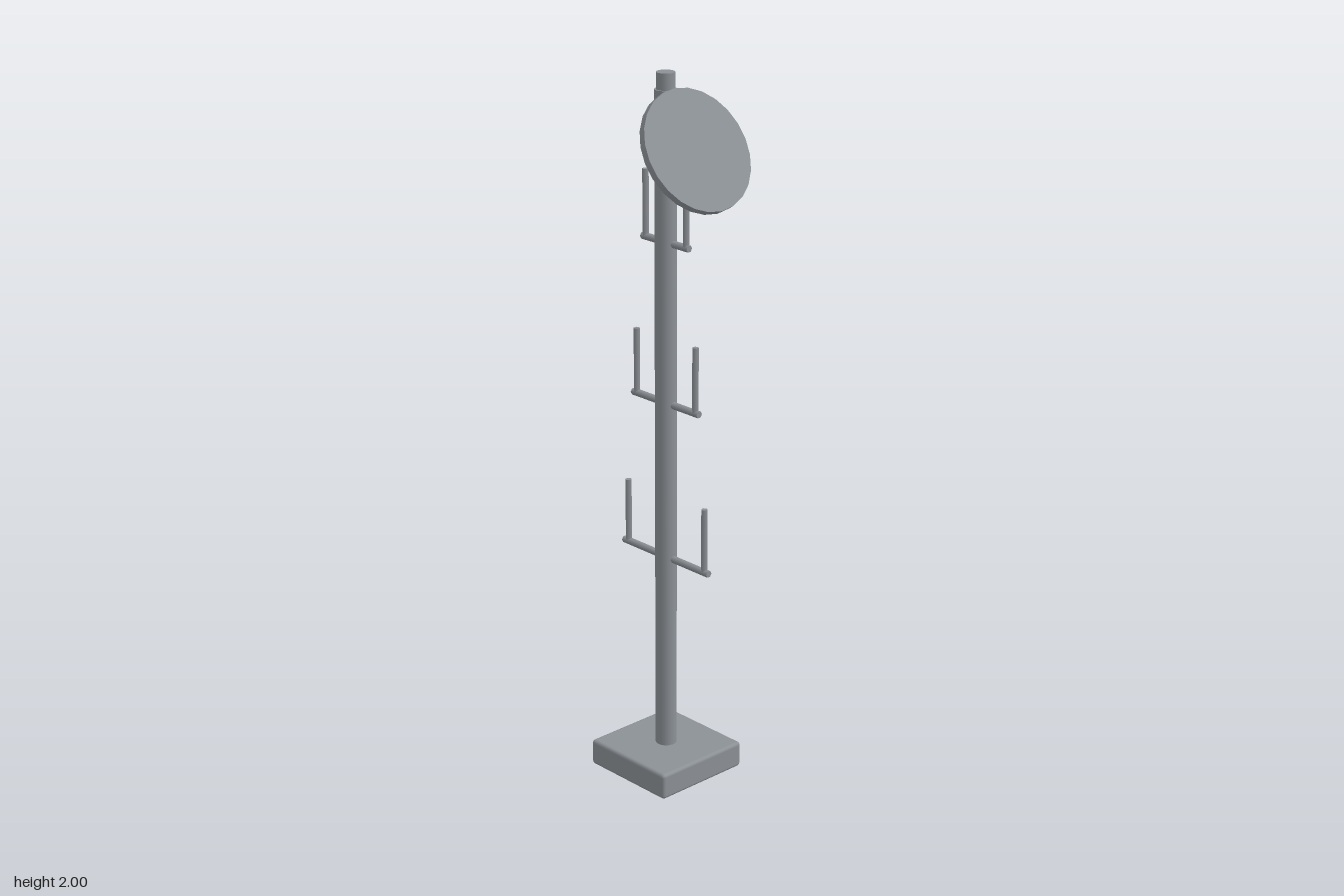
import * as THREE from 'three';
import { RoundedBoxGeometry } from 'three/addons/geometries/RoundedBoxGeometry.js';

export function createModel() {
  const model = new THREE.Group();
  model.name = 'signPost';
  const steel = new THREE.MeshStandardMaterial({ color: 0x8c9196 });
  steel.name = 'steel grey';
  const axisX = -0.022; // the post stands slightly off centre

  function add(name, geometry, x, y, parent = model) {
    const mesh = new THREE.Mesh(geometry, steel);
    mesh.name = name;
    mesh.position.set(x, y, 0);
    parent.add(mesh);
    return mesh;
  }

  // Square foot with softened edges
  add('base', new RoundedBoxGeometry(0.3, 0.076, 0.3, 2, 0.01), axisX, 0.038);

  // Post with a narrower cap on top
  add('post', new THREE.CylinderGeometry(0.03, 0.03, 1.895, 20), axisX, 1.0075);
  add('postCap', new THREE.CylinderGeometry(0.025, 0.025, 0.05, 20), axisX, 1.975);

  // Three crossbars, each with an upright peg near both ends
  const tiers = [
    { y: 0.645, half: 0.17, peg: 0.152 },
    { y: 1.095, half: 0.13, peg: 0.115 },
    { y: 1.545, half: 0.09, peg: 0.078 },
  ];
  for (const { y, half, peg } of tiers) {
    const tier = new THREE.Group();
    tier.name = 'pegTier';
    tier.position.set(axisX, y, 0);
    model.add(tier);
    const bar = add('crossbar', new THREE.CylinderGeometry(0.01, 0.01, half * 2, 6), 0, 0, tier);
    bar.rotation.z = Math.PI / 2;
    for (const side of [-1, 1]) {
      add('peg', new THREE.CylinderGeometry(0.009, 0.009, 0.185, 6), side * peg, 0.0925, tier);
    }
  }

  // Round plate leaning outward from the top of the post
  const disc = add('disc', new THREE.CylinderGeometry(0.17, 0.17, 0.02, 24), 0.092, 1.812);
  disc.rotation.z = THREE.MathUtils.degToRad(-58.5);

  return model;
}
